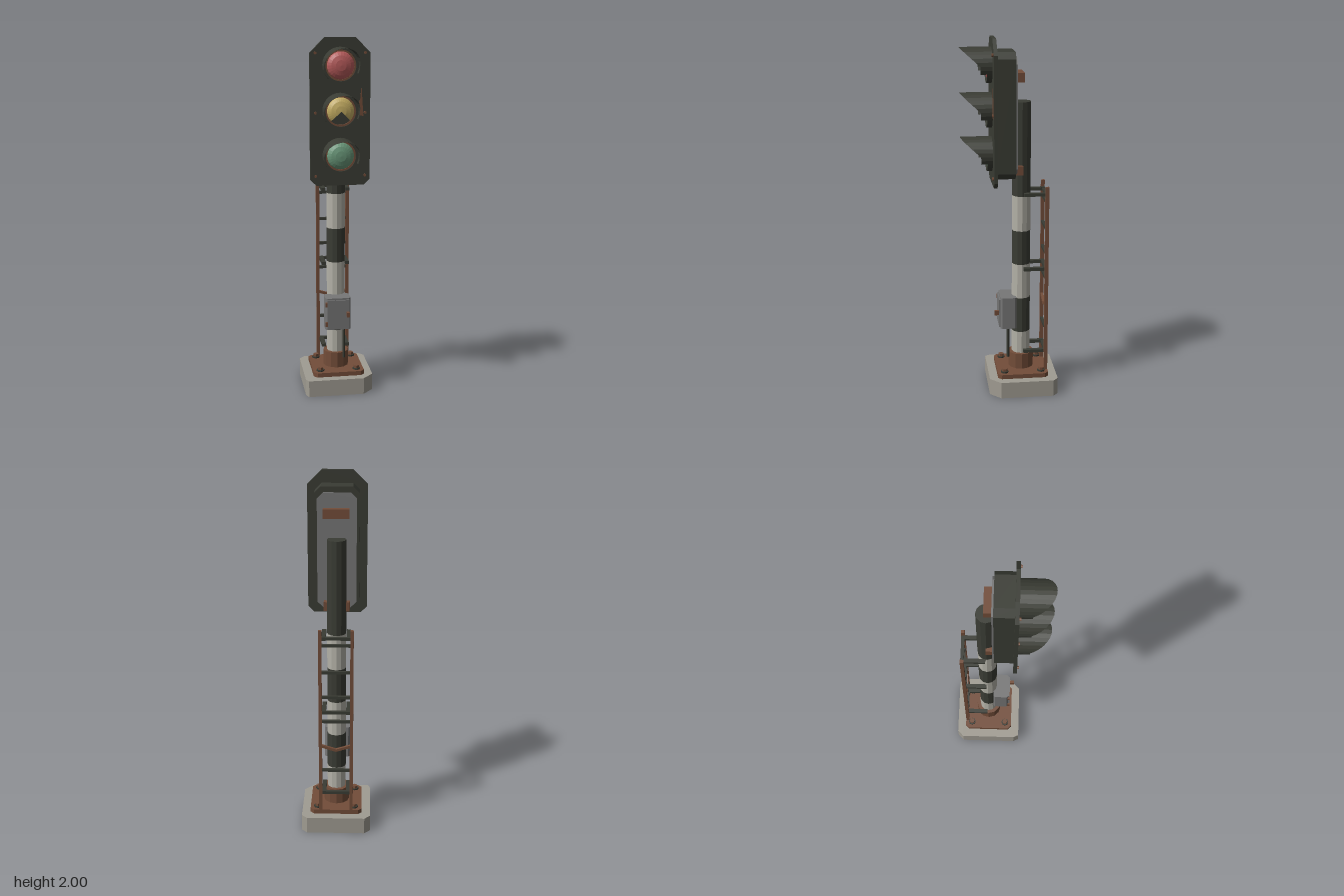
import * as THREE from 'three';

const mat = (name, color, side = THREE.FrontSide) => {
  const m = new THREE.MeshStandardMaterial({ color, side });
  m.name = name;
  return m;
};

export function createModel() {
  const model = new THREE.Group();
  model.name = 'railwaySignal';

  const dark = mat('darkPaint', 0x3a3c34, THREE.DoubleSide);
  const rust = mat('rust', 0x734d39);
  const concrete = mat('concrete', 0xa09c92);
  const white = mat('fadedWhitePaint', 0xb4b2a8);
  const grey = mat('greyMetal', 0x777777);
  const red = mat('redLens', 0xb95c5c);
  const yellow = mat('yellowLens', 0xc8b064);
  const green = mat('greenLens', 0x6b9a7b);

  // Adds a faceted mesh
  function add(name, geo, material, x = 0, y = 0, z = 0) {
    const g = geo.index ? geo.toNonIndexed() : geo;
    g.computeVertexNormals();
    const mesh = new THREE.Mesh(g, material);
    mesh.name = name;
    mesh.position.set(x, y, z);
    model.add(mesh);
    return mesh;
  }
  const box = (name, m, w, h, d, x, y, z) => add(name, new THREE.BoxGeometry(w, h, d), m, x, y, z);
  const cyl = (name, m, r, y0, y1, x, z, n, open = false) =>
    add(name, new THREE.CylinderGeometry(r, r, y1 - y0, n, 1, open), m, x, (y0 + y1) / 2, z);
  const extrude = (pts, depth) => new THREE.ExtrudeGeometry(
    new THREE.Shape(pts.map(p => new THREE.Vector2(...p))), { depth, bevelEnabled: false });
  // Rectangle with cut corners: b along the bottom edge, t along the top edge
  const cutRect = (x0, y0, x1, y1, b, t = b) => [
    [x0 + b, y0], [x1 - b, y0], [x1, y0 + b], [x1, y1 - t],
    [x1 - t, y1], [x0 + t, y1], [x0, y1 - t], [x0, y0 + b]];
  // Plan outline (x, -z) raised to a slab standing at y0
  const slab = (name, m, pts, y0, y1) =>
    add(name, extrude(pts, y1 - y0).rotateX(-Math.PI / 2), m, 0, y0, 0);

  const poleZ = -0.072;

  // Footing and base plate
  slab('concreteFooting', concrete, [
    [-0.18, -0.12], [0.133, -0.12], [0.193, -0.06], [0.193, 0.237],
    [0.163, 0.266], [-0.162, 0.266], [-0.195, 0.232], [-0.195, -0.09]], 0, 0.095);
  slab('basePlate', rust, cutRect(-0.145, -0.072, 0.145, 0.216, 0.02), 0.095, 0.12);
  for (const x of [-0.104, 0.104]) for (const z of [-0.177, 0.032]) {
    cyl('boltWasher', dark, 0.022, 0.12, 0.128, x, z, 8);
    cyl('boltHead', rust, 0.016, 0.128, 0.143, x, z, 6);
  }

  // Banded pole with foot collar
  cyl('poleCollar', rust, 0.072, 0.12, 0.21, 0, poleZ, 12);
  const bands = [0.2, 0.34, 0.545, 0.745, 0.94, 1.14, 1.66];
  for (let i = 0; i < 6; i++)
    cyl('poleBand', i % 2 ? dark : white, 0.052, bands[i], bands[i + 1], 0, poleZ, 12, i < 5);

  // Ladder
  const ladderZ = -0.205;
  for (const s of [-1, 1]) {
    box('ladderRail', rust, 0.018, 1.08, 0.02, s * 0.086, 0.66, ladderZ);
    for (const y of [0.23, 0.725, 1.155])
      box('ladderBracket', dark, 0.023, 0.018, 0.135, s * 0.067, y, -0.147);
  }
  for (const y of [0.23, 0.725, 1.155]) box('bracketBar', dark, 0.16, 0.016, 0.018, 0, y, ladderZ);
  for (const y of [0.37, 0.67, 0.815, 0.96, 1.115])
    box('ladderRung', dark, 0.16, 0.015, 0.016, 0, y, ladderZ);
  const bent = new THREE.BoxGeometry(0.16, 0.015, 0.016, 4, 1, 1);
  const bp = bent.attributes.position;
  for (let i = 0; i < bp.count; i++)
    bp.setY(i, bp.getY(i) - 0.025 * (1 - Math.abs(bp.getX(i)) / 0.08));
  add('bentRung', bent, rust, 0, 0.52, ladderZ);

  // Equipment cabinet with door, hinges, latch and conduit
  slab('cabinet', grey, cutRect(-0.075, -0.05, 0.068, 0.04, 0.01), 0.37, 0.555);
  box('cabinetDoor', grey, 0.125, 0.165, 0.008, -0.003, 0.4625, 0.054);
  for (const y of [0.405, 0.52]) box('cabinetHinge', rust, 0.012, 0.025, 0.014, -0.071, y, 0.052);
  box('cabinetLatch', rust, 0.016, 0.026, 0.027, 0.05, 0.465, 0.07);
  cyl('conduit', dark, 0.008, 0.185, 0.37, 0.035, 0.005, 8);

  // Signal head: backing board, housing, rear cover and mounts
  add('backingBoard', extrude(cutRect(-0.162, 1.212, 0.162, 2, 0.033, 0.08), 0.02), dark, 0, 0, 0.072);
  add('headHousing', extrude(cutRect(-0.12, 1.25, 0.12, 1.93, 0.035), 0.103), dark, 0, 0, -0.03);
  add('rearCover', extrude(cutRect(-0.105, 1.275, 0.105, 1.9, 0.032), 0.01), grey, 0, 0, -0.04);
  box('rearLabelPlate', rust, 0.14, 0.05, 0.04, 0.003, 1.795, -0.06);
  box('poleClamp', rust, 0.14, 0.05, 0.045, 0, 1.29, -0.0525);
  for (const x of [-0.134, 0.134]) for (const y of [1.265, 1.605, 1.92])
    add('boardBolt', new THREE.CylinderGeometry(0.008, 0.008, 0.01, 6).rotateX(Math.PI / 2), rust, x, y, 0.096);
  add('rustStreak', extrude([[0.09, 1.595], [0.125, 1.585], [0.12, 1.66], [0.114, 1.745],
    [0.108, 1.68], [0.102, 1.66], [0.108, 1.62]], 0.003), rust, 0, 0, 0.092);

  // Lamps
  const rad = THREE.MathUtils.degToRad;
  const lens = (start, sweep) => new THREE.SphereGeometry(0.074, 24, 4, start, sweep, 0, Math.PI / 2)
    .rotateX(Math.PI / 2).scale(1, 1, 0.4);
  const ring = (inner, outer, depth) => {
    const shape = new THREE.Shape().absarc(0, 0, outer, 0, Math.PI * 2);
    shape.holes.push(new THREE.Path().absarc(0, 0, inner, 0, Math.PI * 2, true));
    return new THREE.ExtrudeGeometry(shape, { depth, bevelEnabled: false, curveSegments: 24 });
  };
  // Hood: a tube arc whose front rim is cut on a slant
  function hood() {
    const r = 0.096;
    const g = new THREE.CylinderGeometry(r, r, 1, 18, 1, true, Math.PI - rad(115), rad(230))
      .rotateX(Math.PI / 2);
    const p = g.attributes.position;
    for (let i = 0; i < p.count; i++)
      p.setZ(i, p.getZ(i) > 0 ? 0.155 + 0.109 * Math.max(0, p.getY(i) / r) : 0.09);
    return g;
  }
  [[1.855, red, 'redLens'], [1.615, yellow, 'yellowLens'], [1.375, green, 'greenLens']].forEach(([y, m, name]) => {
    add('lampBezel', ring(0.082, 0.095, 0.028), dark, 0, y, 0.092);
    add('lampRustRing', ring(0.073, 0.084, 0.018), rust, 0, y, 0.092);
    add('lampHood', hood(), dark, 0, y, 0);
    // The yellow lens has a broken-out wedge at the bottom
    const broken = m === yellow;
    add(name, lens(broken ? rad(135) : 0, broken ? rad(270) : Math.PI * 2), m, 0, y, 0.103);
    if (broken) add('lampInterior', new THREE.CircleGeometry(0.074, 24), dark, 0, y, 0.1);
  });

  return model;
}
